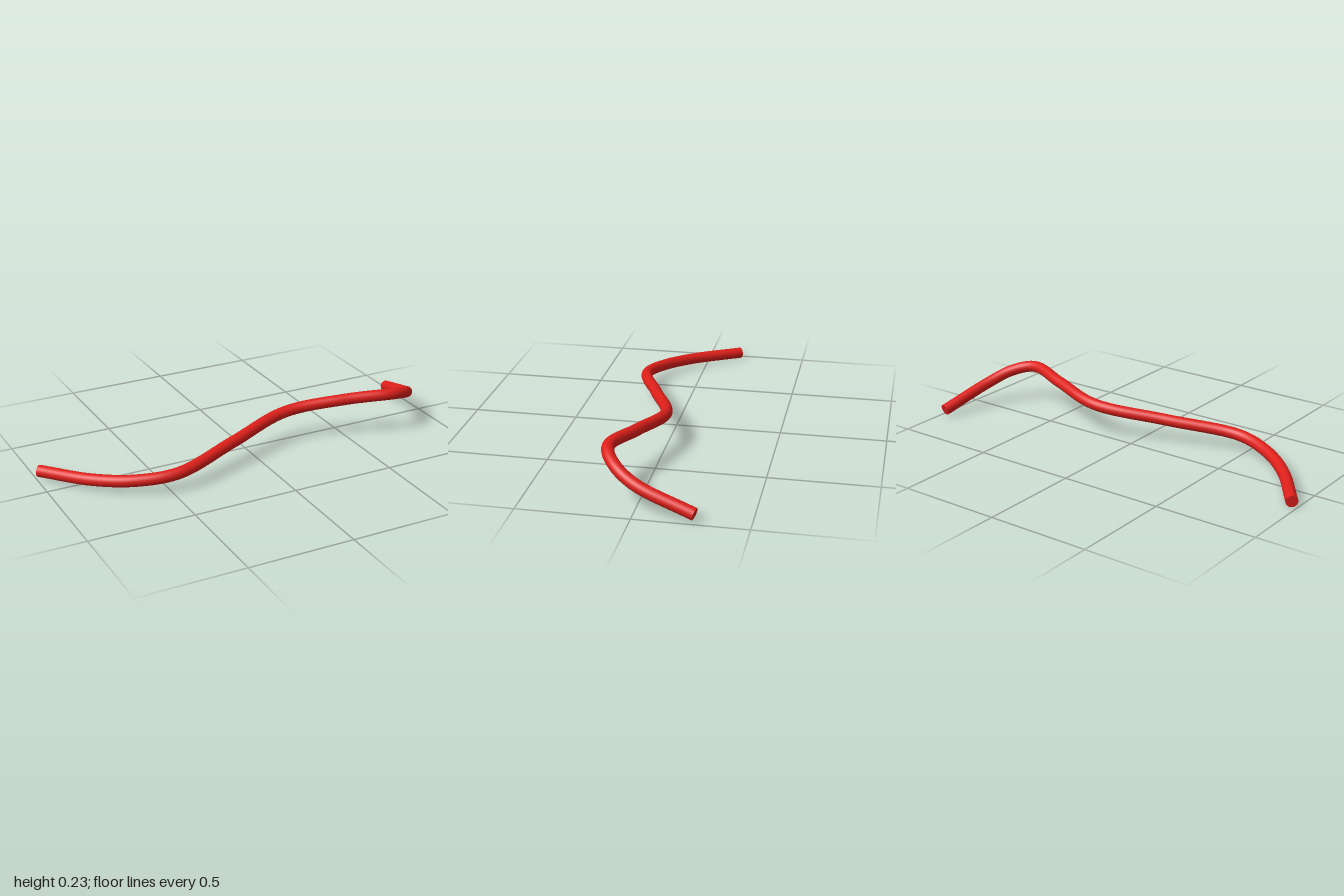
import * as THREE from 'three';

const RADIUS = 0.028;
const SIDES = 24;

export function createModel() {
  const group = new THREE.Group();
  group.name = 'bentCable';
  const material = new THREE.MeshStandardMaterial({ color: 0xdd1f1a });

  // Centre line of the cable, from its right end to its left end
  const path = new THREE.CatmullRomCurve3([
    [-0.978, 0.031, -0.163],
    [-0.8, 0.046, 0.063],
    [-0.64, 0.061, 0.187],
    [-0.46, 0.08, 0.24],
    [-0.12, 0.115, 0.123],
    [0.22, 0.152, 0.008],
    [0.5, 0.186, 0.08],
    [0.73, 0.2, 0.156],
    [0.84, 0.169, 0.105],
    [0.91, 0.118, 0],
    [0.97, 0.036, -0.263],
  ].map((p) => new THREE.Vector3(...p)));

  const cable = new THREE.Mesh(
    new THREE.TubeGeometry(path, 160, RADIUS, SIDES, false), material);
  cable.name = 'cable';
  group.add(cable);

  // Flat discs closing both ends, facing outwards along the path
  for (const [name, t, sign] of [['rightEndCap', 0, -1], ['leftEndCap', 1, 1]]) {
    const cap = new THREE.Mesh(new THREE.CircleGeometry(RADIUS, SIDES), material);
    cap.name = name;
    cap.position.copy(path.getPointAt(t));
    cap.quaternion.setFromUnitVectors(
      new THREE.Vector3(0, 0, 1), path.getTangentAt(t).multiplyScalar(sign));
    group.add(cap);
  }
  return group;
}
